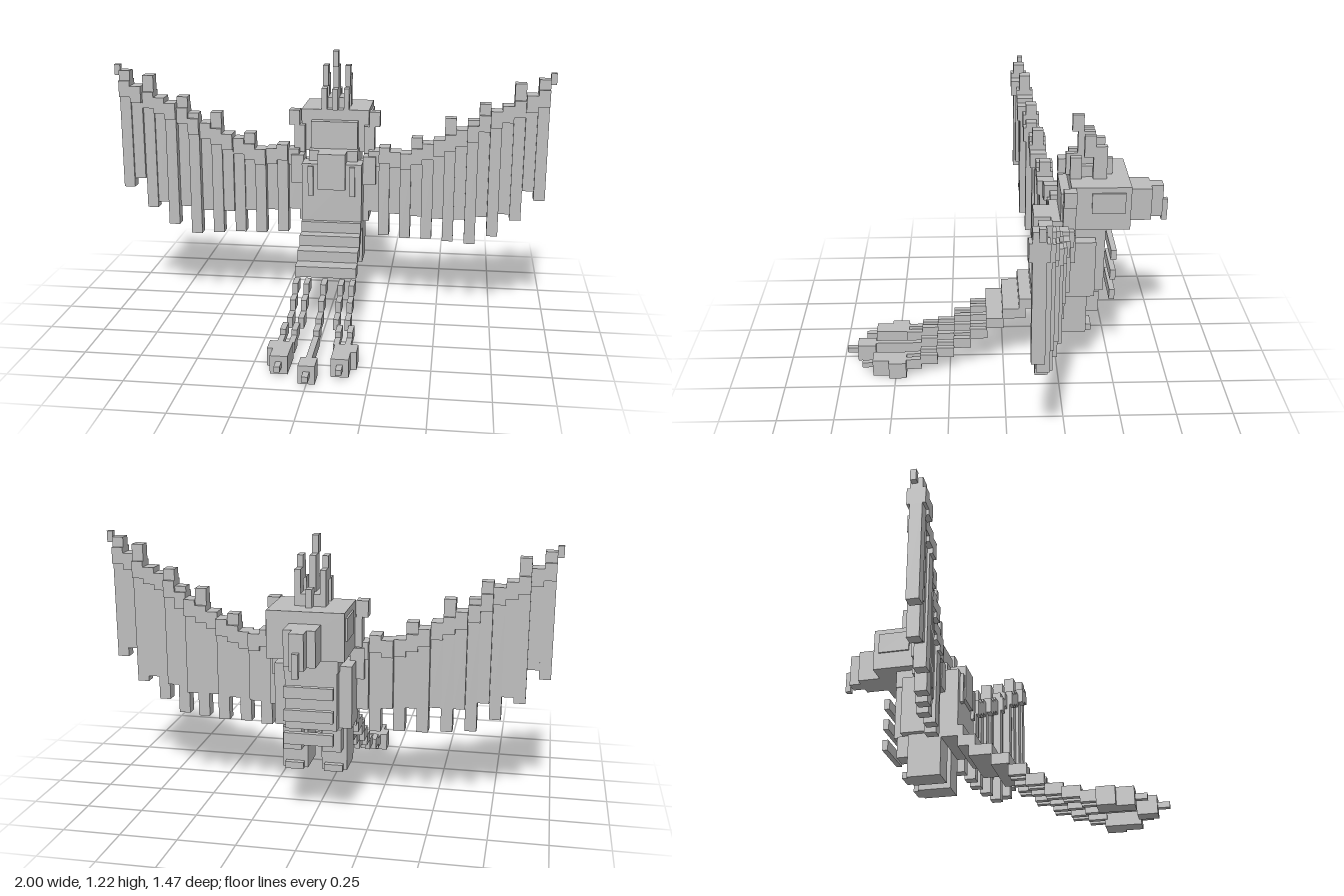
import * as THREE from 'three';

const grey = new THREE.MeshStandardMaterial({ color: 0xbdbdbd });
grey.name = 'plain grey';

// Box given by its extents on each axis
function block(parent, name, x0, x1, y0, y1, z0, z1) {
  const mesh = new THREE.Mesh(new THREE.BoxGeometry(x1 - x0, y1 - y0, z1 - z0), grey);
  mesh.position.set((x0 + x1) / 2, (y0 + y1) / 2, (z0 + z1) / 2);
  mesh.name = name;
  parent.add(mesh);
}
// Box centred on x = 0, given by its half width
const mid = (p, name, w, ...r) => block(p, name, -w, w, ...r);
// Box repeated on both sides
function pair(p, name, x0, x1, ...r) {
  block(p, name + 'Left', x0, x1, ...r);
  block(p, name + 'Right', -x1, -x0, ...r);
}

function part(parent, name) {
  const g = new THREE.Group();
  g.name = name;
  parent.add(g);
  return g;
}

export function createModel() {
  const model = new THREE.Group();
  model.name = 'blockBird';
  const U = 2 / 76;

  // Body
  const body = part(model, 'body');
  mid(body, 'torso', 0.165, 0.41, 0.68, -0.405, -0.25);
  mid(body, 'chest', 0.11, 0.41, 0.71, -0.45, -0.40);
  mid(body, 'back', 0.14, 0.41, 0.71, -0.25, -0.15);
  mid(body, 'neck', 0.115, 0.66, 0.76, -0.45, -0.21);
  mid(body, 'nape', 0.065, 0.59, 0.76, -0.21, -0.135);
  pair(body, 'backPlume', 0.085, 0.11, 0.56, 0.70, -0.16, -0.135);
  for (const y of [0.36, 0.46, 0.56]) mid(body, 'chestBar', 0.105, y, y + 0.05, -0.505, -0.48);

  // Legs
  const legs = part(model, 'legs');
  pair(legs, 'thigh', 0.03, 0.14, 0.21, 0.41, -0.375, -0.225);
  pair(legs, 'shin', 0.045, 0.125, 0.31, 0.41, -0.43, -0.375);
  pair(legs, 'toe', 0.045, 0.125, 0.21, 0.24, -0.40, -0.375);

  // Head with eyes and hooked beak
  const head = part(model, 'head');
  mid(head, 'skull', 0.16, 0.74, 0.94, -0.55, -0.29);
  mid(head, 'headBack', 0.11, 0.76, 0.89, -0.29, -0.25);
  pair(head, 'eye', 0.16, 0.168, 0.82, 0.915, -0.525, -0.38);
  mid(head, 'beakBase', 0.065, 0.74, 0.89, -0.655, -0.55);
  mid(head, 'beakFront', 0.03, 0.74, 0.89, -0.71, -0.655);
  mid(head, 'beakHook', 0.013, 0.715, 0.815, -0.735, -0.71);
  pair(head, 'cheekPlumeStem', 0.14, 0.19, 0.74, 0.87, -0.31, -0.255);
  pair(head, 'cheekPlumeTip', 0.165, 0.215, 0.87, 0.94, -0.31, -0.255);

  // Crest
  const crest = part(model, 'crest');
  mid(crest, 'crestBase', 0.04, 0.94, 0.99, -0.45, -0.33);
  mid(crest, 'crestFront', 0.013, 0.94, 1.015, -0.48, -0.43);
  mid(crest, 'crestMiddle', 0.013, 0.94, 1.14, -0.40, -0.325);
  mid(crest, 'crestTop', 0.013, 1.14, 1.215, -0.35, -0.30);
  mid(crest, 'crestRear', 0.013, 0.94, 1.04, -0.325, -0.275);
  pair(crest, 'sidePlume', 0.04, 0.065, 0.94, 1.09, -0.45, -0.39);
  pair(crest, 'sidePlumeTip', 0.04, 0.065, 1.04, 1.14, -0.40, -0.35);
  pair(crest, 'rearPlume', 0.04, 0.065, 0.94, 1.04, -0.34, -0.29);

  // Wings: feather columns from the tip inwards, [top, bottom]
  const wings = part(model, 'wings');
  const columns = [
    [1.14, 0.59], [1.07, 0.63], [1.115, 0.485], [1.015, 0.51],
    [0.99, 0.405], [1.015, 0.485], [0.94, 0.355], [0.89, 0.46],
    [0.94, 0.355], [0.84, 0.46], [0.815, 0.355], [0.84, 0.46],
    [0.765, 0.355], [0.765, 0.46], [0.785, 0.355], [0.76, 0.46],
  ];
  const step = 0.0506;
  pair(wings, 'wingTip', 0.974, 1, 1.115, 1.165, -0.125, -0.10);
  columns.forEach(([top, bottom], k) => {
    const x1 = 0.974 - k * step, x0 = x1 - step;
    const z = Math.round((-0.25 + 0.193 * (x0 + step / 2 - 0.2)) / U) * U;
    // arm level ignores the raised spikes
    const next = columns[Math.min(k + 1, 15)][0];
    const arm = Math.min(top, next + 0.025);
    pair(wings, 'wingArm', x0, x1, arm - 0.075, arm, z - 1.5 * U, z + 1.5 * U);
    if (top > arm) pair(wings, 'wingSpike', x0, x1, arm, top, z - U, z + U);
    pair(wings, 'feather', x0, x1, bottom, arm - 0.075, z - U, z + (k % 2 ? 0.6 * U : U));
  });
  pair(wings, 'shoulder', 0.14, 0.20, 0.60, 0.735, -0.31, -0.21);

  // Tail: stepped slabs, then three long plumes
  const tail = part(model, 'tail');
  [[0.385, -0.225, -0.125], [0.335, -0.15, -0.07], [0.285, -0.10, 0.005], [0.235, 0, 0.08]]
    .forEach(([y, z0, z1]) => mid(tail, 'tailSlab', 0.14, y, y + 0.05, z0, z1));

  const steps = [[0.18, 0.075, 0.155], [0.13, 0.15, 0.23], [0.08, 0.23, 0.31], [0.055, 0.305, 0.385], [0.03, 0.38, 0.46]];
  steps.forEach(([y, z0, z1], i) => {
    mid(tail, 'middleStem', 0.013, y, y + 0.05, z0, z1);
    const s = i < 3 ? 0 : 0.018;
    pair(tail, 'innerStem', 0.065 + s, 0.09 + s, y, y + 0.05, z0, z1);
    pair(tail, 'outerStem', 0.115 + s, 0.14 + s, y, y + 0.05, z0, z1);
  });
  mid(tail, 'middleStemEnd', 0.013, 0.03, 0.08, 0.46, 0.60);
  mid(tail, 'middlePlume', 0.035, 0, 0.08, 0.60, 0.685);
  mid(tail, 'middlePlumeTip', 0.013, 0.03, 0.055, 0.685, 0.735);
  pair(tail, 'sidePlumeEnd', 0.09, 0.165, 0, 0.08, 0.45, 0.605);
  pair(tail, 'sidePlumeEdge', 0.165, 0.19, 0, 0.08, 0.45, 0.53);
  pair(tail, 'sidePlumePoint', 0.115, 0.14, 0.03, 0.055, 0.605, 0.655);

  return model;
}
